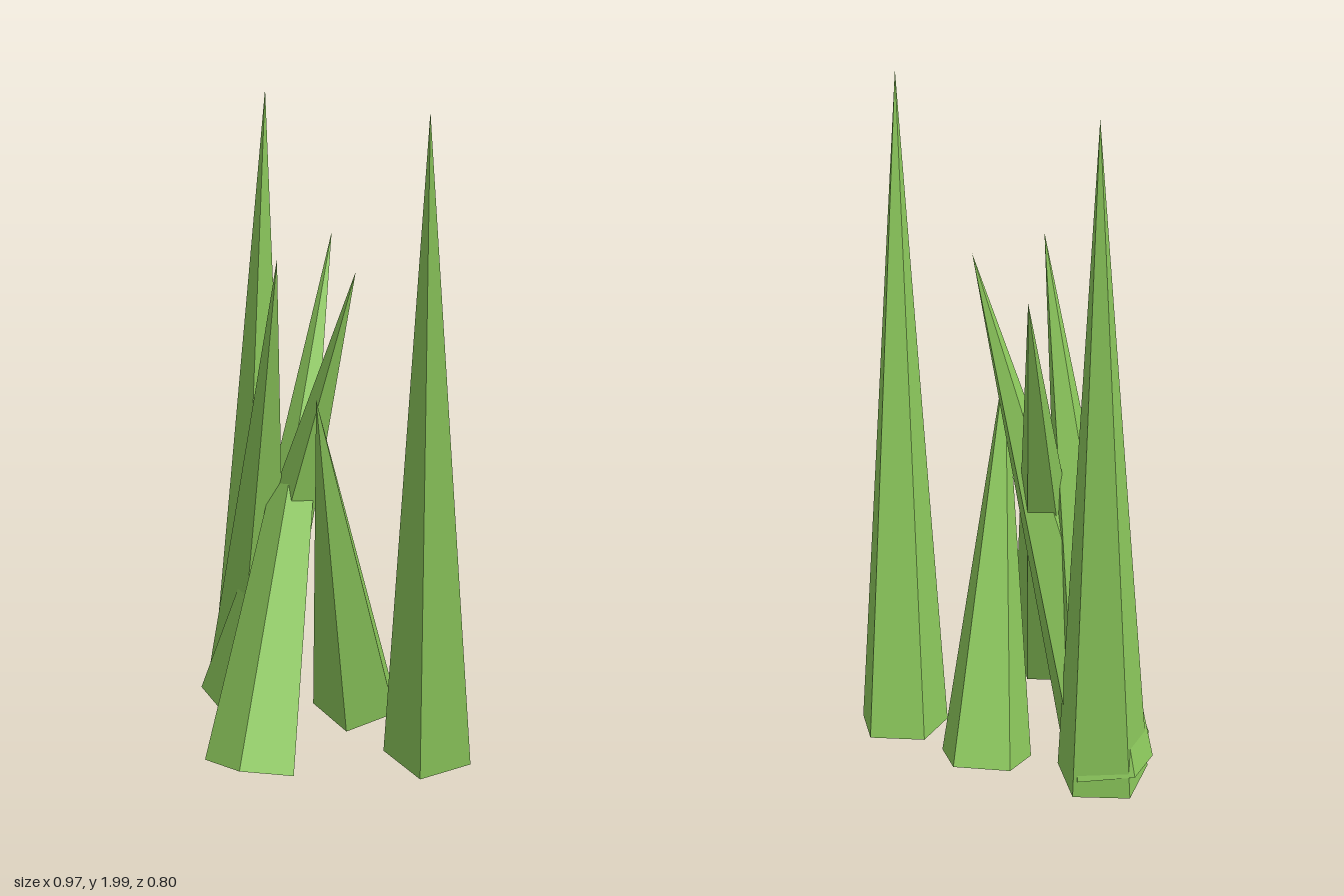
import * as THREE from 'three';

// Each blade: centre of its base, then its tip
const BLADES = [
  { base: [0.285, 0.028, -0.26], tip: [0.48, 1.99, 0.0] },
  { base: [-0.052, 0.05, -0.25], tip: [0.14, 1.19, 0.075] },
  { base: [-0.36, 0.055, -0.05], tip: [0.04, 1.57, 0.13] },
  { base: [-0.345, 0.02, -0.055], tip: [-0.33, 1.965, -0.11] },
  { base: [-0.3, 0.05, 0.02], tip: [0.147, 1.53, -0.055] },
  { base: [0.12, 0.1, 0.29], tip: [-0.27, 1.535, -0.31] },
];
const RADIUS = 0.142;
const UP = new THREE.Vector3(0, 1, 0);

export function createModel() {
  const group = new THREE.Group();
  group.name = 'grassTuft';
  const green = new THREE.MeshStandardMaterial({ color: 0x8bc75b, flatShading: true });
  green.name = 'grass green';

  BLADES.forEach(({ base, tip }, i) => {
    const start = new THREE.Vector3(...base);
    const axis = new THREE.Vector3(...tip).sub(start);
    const length = axis.length();

    // Five-sided spike with a corner to the back, pivoting at its base
    const geometry = new THREE.ConeGeometry(RADIUS, length, 5, 1, false, Math.PI);
    geometry.translate(0, length / 2, 0);

    const blade = new THREE.Mesh(geometry, green);
    blade.name = `grassBlade${i + 1}`;
    blade.position.copy(start);
    blade.quaternion.setFromUnitVectors(UP, axis.normalize());
    group.add(blade);
  });
  return group;
}
